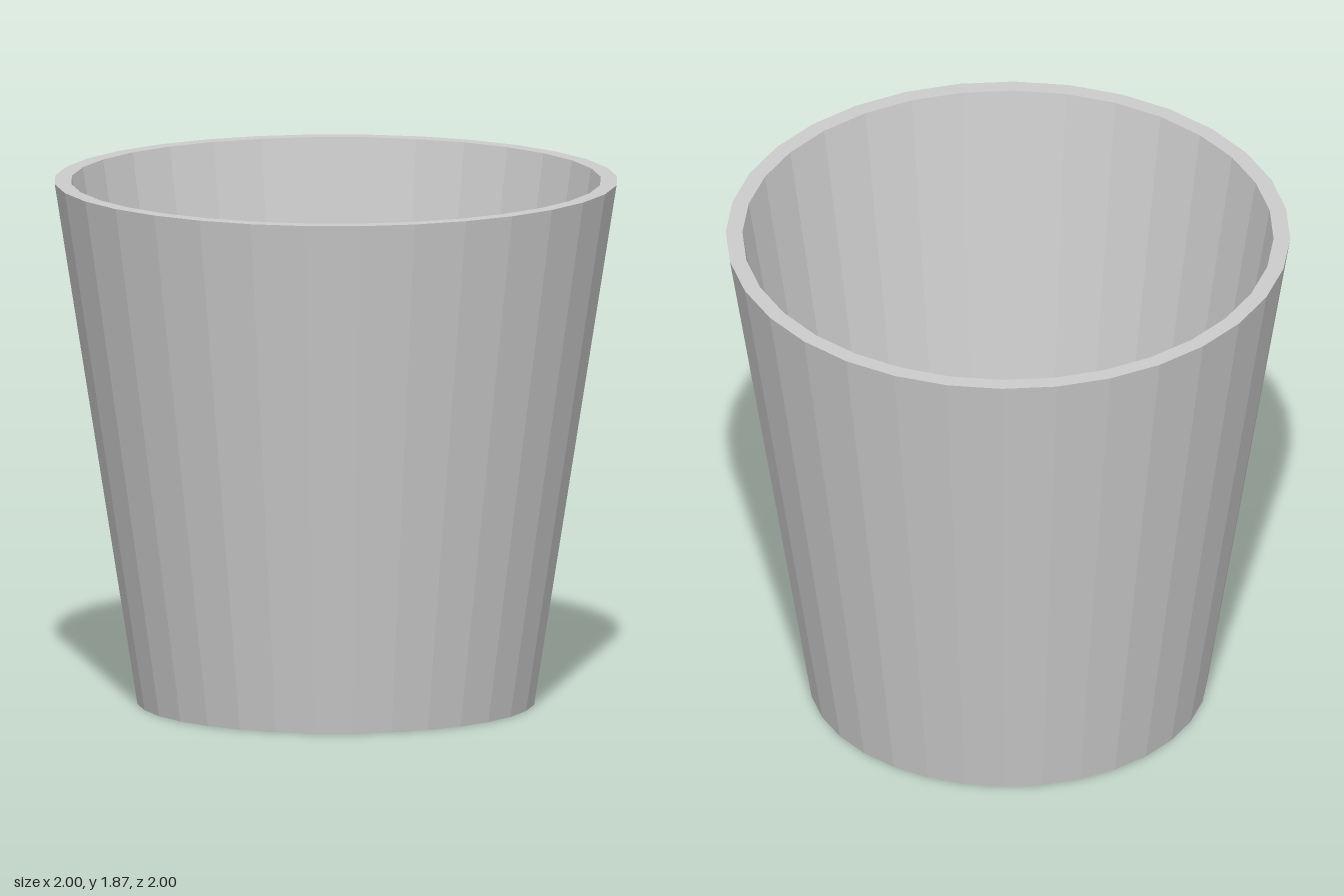
import * as THREE from 'three';

const SIDES = 32;
const HEIGHT = 1.87;
const WALL = 0.059;
const FLOOR = 0.04;
const TOP_RADIUS = 1;
const BOTTOM_RADIUS = 0.706;

export function createModel() {
  const group = new THREE.Group();
  group.name = 'cup';

  // Closed section: underside, tapered outer wall, flat rim, inner wall, floor
  const profile = [
    [0, 0],
    [BOTTOM_RADIUS, 0],
    [TOP_RADIUS, HEIGHT],
    [TOP_RADIUS - WALL, HEIGHT],
    [BOTTOM_RADIUS - WALL, FLOOR],
    [0, FLOOR],
  ].map(([r, y]) => new THREE.Vector2(r, y));

  const material = new THREE.MeshStandardMaterial({ color: 0xcccccc, flatShading: true });
  const body = new THREE.Mesh(new THREE.LatheGeometry(profile, SIDES), material);
  body.name = 'cupBody';
  group.add(body);

  return group;
}
